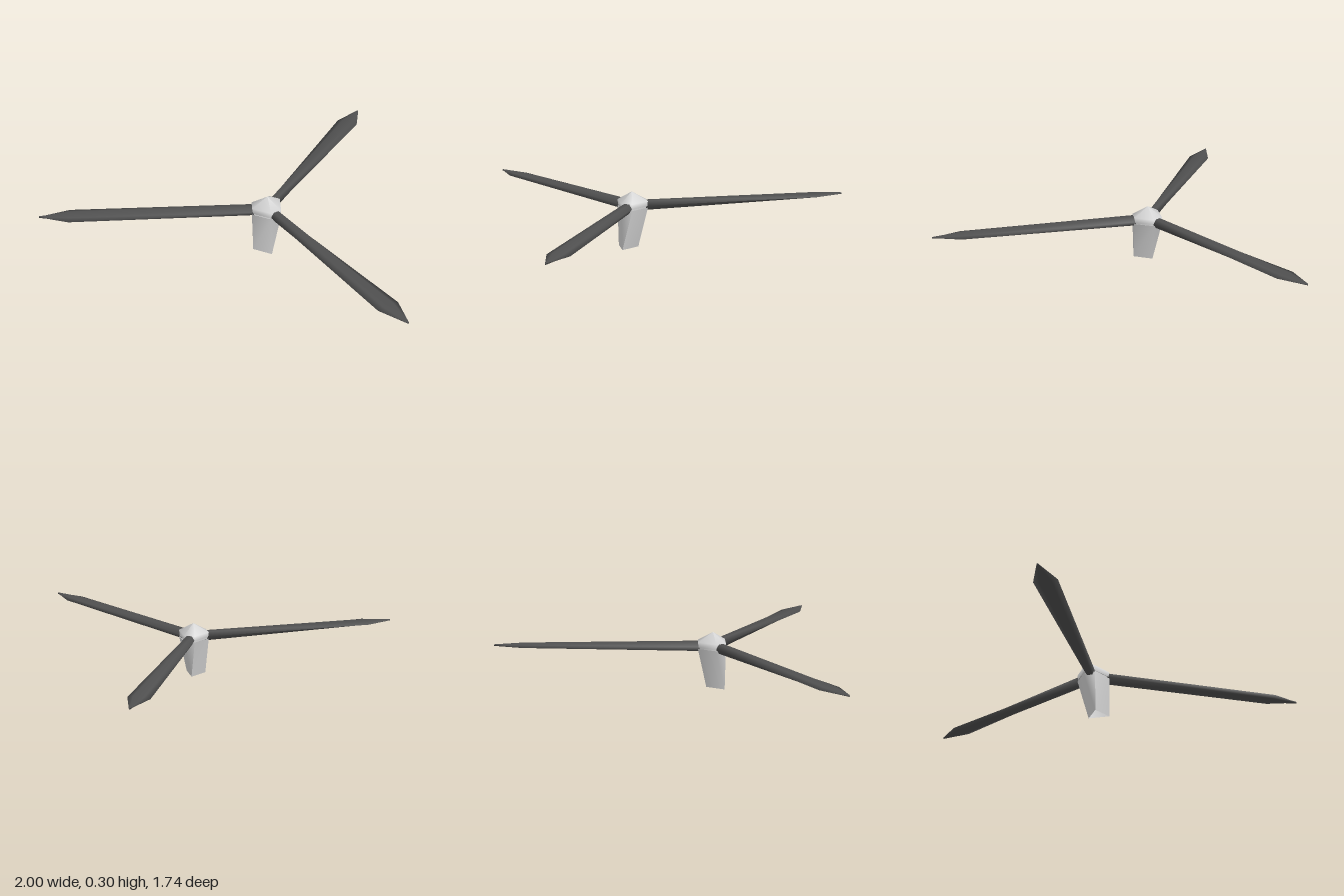
import * as THREE from 'three';

const HUB_Z = 0.288;
const THIRD = (Math.PI * 2) / 3;

// Skin a list of equal-length rings, each a loop running anticlockwise seen from +y
function loft(rings) {
  const n = rings[0].length;
  const index = [];
  for (let r = 0; r < rings.length - 1; r++) {
    for (let i = 0; i < n; i++) {
      const j = (i + 1) % n;
      const a = r * n + i, b = r * n + j, c = b + n, d = a + n;
      index.push(a, b, c, a, c, d);
    }
  }
  const geo = new THREE.BufferGeometry();
  geo.setAttribute('position', new THREE.Float32BufferAttribute(rings.flat(2), 3));
  geo.setIndex(index);
  geo.computeVertexNormals();
  return geo;
}

// Six-cornered ring: a short edge facing each blade
function hubRing(y, halfEdge, dist) {
  const ring = [];
  for (let k = 0; k < 3; k++) {
    const c = Math.cos(k * THIRD), s = Math.sin(k * THIRD);
    for (const x of [halfEdge, -halfEdge]) {
      ring.push([x * c - dist * s, y, -x * s - dist * c]);
    }
  }
  return ring;
}

// Flattened hexagonal blade section at a distance from the hub
function bladeRing([dist, halfWidth, halfThick, centreY]) {
  return Array.from({ length: 6 }, (_, i) => {
    const a = (i * Math.PI) / 3;
    return [halfWidth * Math.cos(a), dist, centreY - (halfThick / 0.866) * Math.sin(a)];
  });
}

export function createModel() {
  const pale = new THREE.MeshStandardMaterial({ color: 0xd4d4d4, side: THREE.DoubleSide });
  pale.name = 'pale grey';
  const dark = new THREE.MeshStandardMaterial({ color: 0x505050 });
  dark.name = 'dark grey';

  const model = new THREE.Group();
  model.name = 'rotor';
  const add = (name, geo, mat) => {
    const mesh = new THREE.Mesh(geo, mat);
    mesh.name = name;
    mesh.position.z = HUB_Z;
    model.add(mesh);
    return mesh;
  };

  // Pointed cap with a short skirt
  add('hubCap', loft([
    hubRing(0.222, 0.03, 0.076), hubRing(0.25, 0.03, 0.08), hubRing(0.3, 0, 0),
  ]), pale);

  // Narrow neck between cap and post
  add('neck', loft([hubRing(0.212, 0.026, 0.07), hubRing(0.225, 0.026, 0.07)]), pale);

  // Post: six-sided at the top, narrowing to an open triangle with an upright front
  const foot = [[0, 0, -0.033], [-0.054, 0, 0.062], [0.054, 0, 0.062]];
  add('post', loft([foot.flatMap((p) => [p, p]), hubRing(0.215, 0.03, 0.08)]), pale);

  // Three blades: distance, half width, half thickness, centre height
  const blade = loft([
    [0.07, 0, 0, 0.225],
    [0.07, 0.027, 0.025, 0.225],
    [1.005, 0.058, 0.008, 0.229],
    [1.155, 0.003, 0.004, 0.23],
    [1.155, 0, 0, 0.23],
  ].map(bladeRing)).rotateX(-Math.PI / 2);
  for (let k = 0; k < 3; k++) add('blade' + (k + 1), blade, dark).rotation.y = k * THIRD;

  return model;
}
